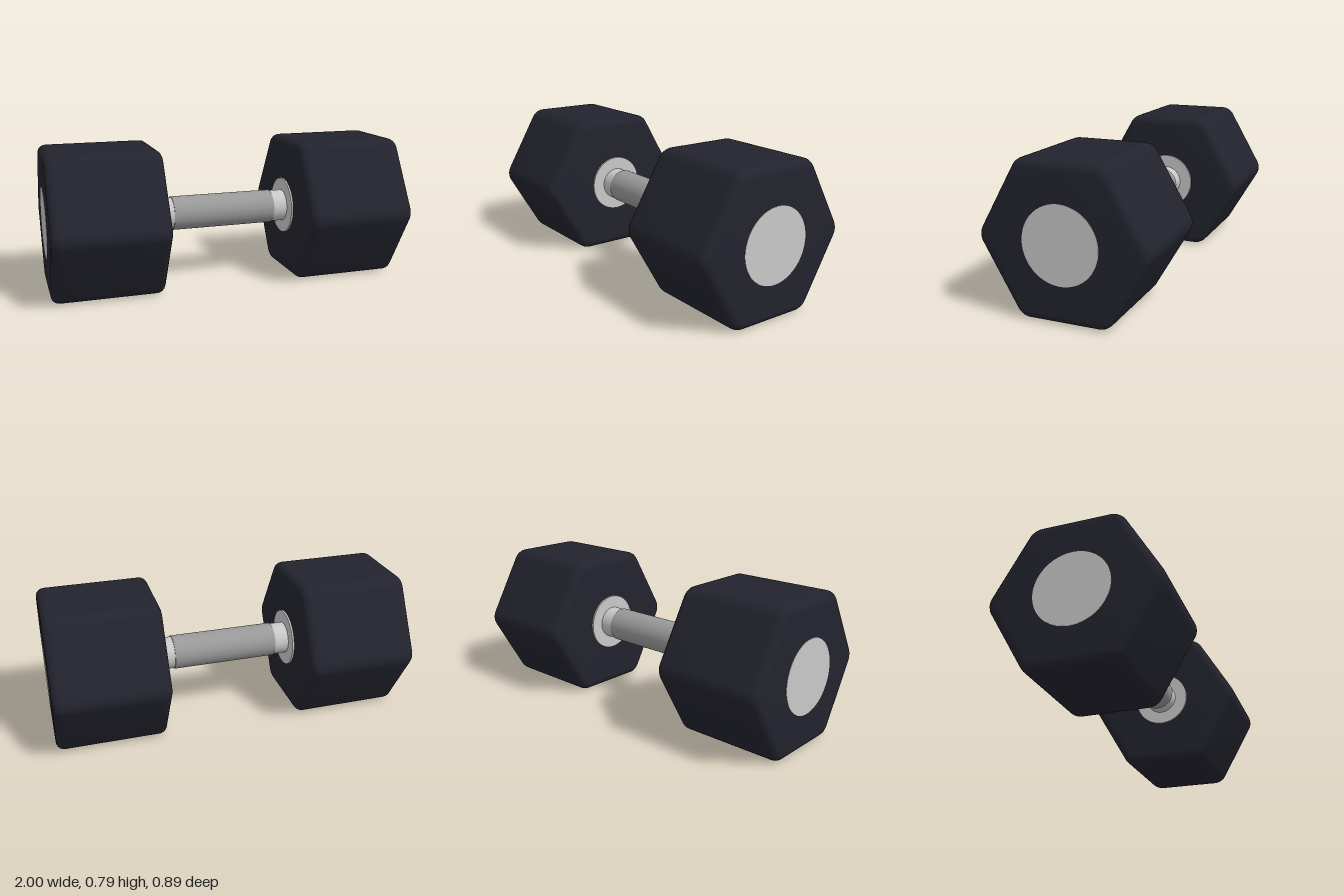
import * as THREE from 'three';
import { toCreasedNormals } from 'three/addons/utils/BufferGeometryUtils.js';

const AXIS_Y = 0.395; // height of the bar's axis, also the hexagon's apothem

const material = (name, color) => {
  const m = new THREE.MeshStandardMaterial({ color });
  m.name = name;
  return m;
};

// Hexagon with rounded corners and softly bevelled ends, extruded along x from x0 to x1
function hexHeadGeometry(x0, x1) {
  const bevel = 0.045;
  const cornerRadius = 0.04; // grows by the bevel
  const reach = (AXIS_Y - bevel - cornerRadius) / Math.cos(Math.PI / 6);
  const shape = new THREE.Shape();
  for (let i = 0; i < 6; i++) {
    const a = (i * Math.PI) / 3;
    shape.absarc(reach * Math.cos(a), reach * Math.sin(a), cornerRadius, a - Math.PI / 6, a + Math.PI / 6, false);
  }
  shape.closePath();
  const geometry = new THREE.ExtrudeGeometry(shape, {
    depth: x1 - x0 - 2 * bevel,
    bevelEnabled: true,
    bevelSize: bevel,
    bevelThickness: bevel,
    bevelSegments: 5,
    curveSegments: 4,
  });
  geometry.translate(0, 0, x0 + bevel);
  geometry.rotateY(Math.PI / 2);
  return toCreasedNormals(geometry, 0.6);
}

// Cylinder lying along x between x0 and x1
function rodGeometry(radius, x0, x1) {
  const geometry = new THREE.CylinderGeometry(radius, radius, x1 - x0, 64);
  geometry.rotateZ(-Math.PI / 2);
  geometry.translate((x0 + x1) / 2, 0, 0);
  return geometry;
}

export function createModel() {
  const rubber = material('dark rubber', 0x23232e);
  const steel = material('polished steel', 0xc8c8c8);
  const gripSteel = material('grip steel', 0x999999);

  const model = new THREE.Group();
  model.name = 'dumbbell';
  const add = (parent, name, geometry, mat) => {
    const mesh = new THREE.Mesh(geometry, mat);
    mesh.name = name;
    parent.add(mesh);
  };

  // Handle: a smooth bar with a slightly thicker grip
  const handle = new THREE.Group();
  handle.name = 'handle';
  handle.position.y = AXIS_Y;
  add(handle, 'bar', rodGeometry(0.09, -0.4, 0.4), steel);
  add(handle, 'grip', rodGeometry(0.095, -0.295, 0.295), gripSteel);
  model.add(handle);

  // Two weights, the right one turned half round
  const head = hexHeadGeometry(0.385, 0.998);
  const collar = rodGeometry(0.16, 0.375, 0.395);
  const cap = rodGeometry(0.198, 0.99, 1);
  for (const side of ['left', 'right']) {
    const weight = new THREE.Group();
    weight.name = `${side}Weight`;
    weight.position.y = AXIS_Y;
    if (side === 'right') weight.rotation.y = Math.PI;
    add(weight, `${side}Head`, head, rubber);
    add(weight, `${side}Collar`, collar, steel);
    add(weight, `${side}EndCap`, cap, steel);
    model.add(weight);
  }
  return model;
}
